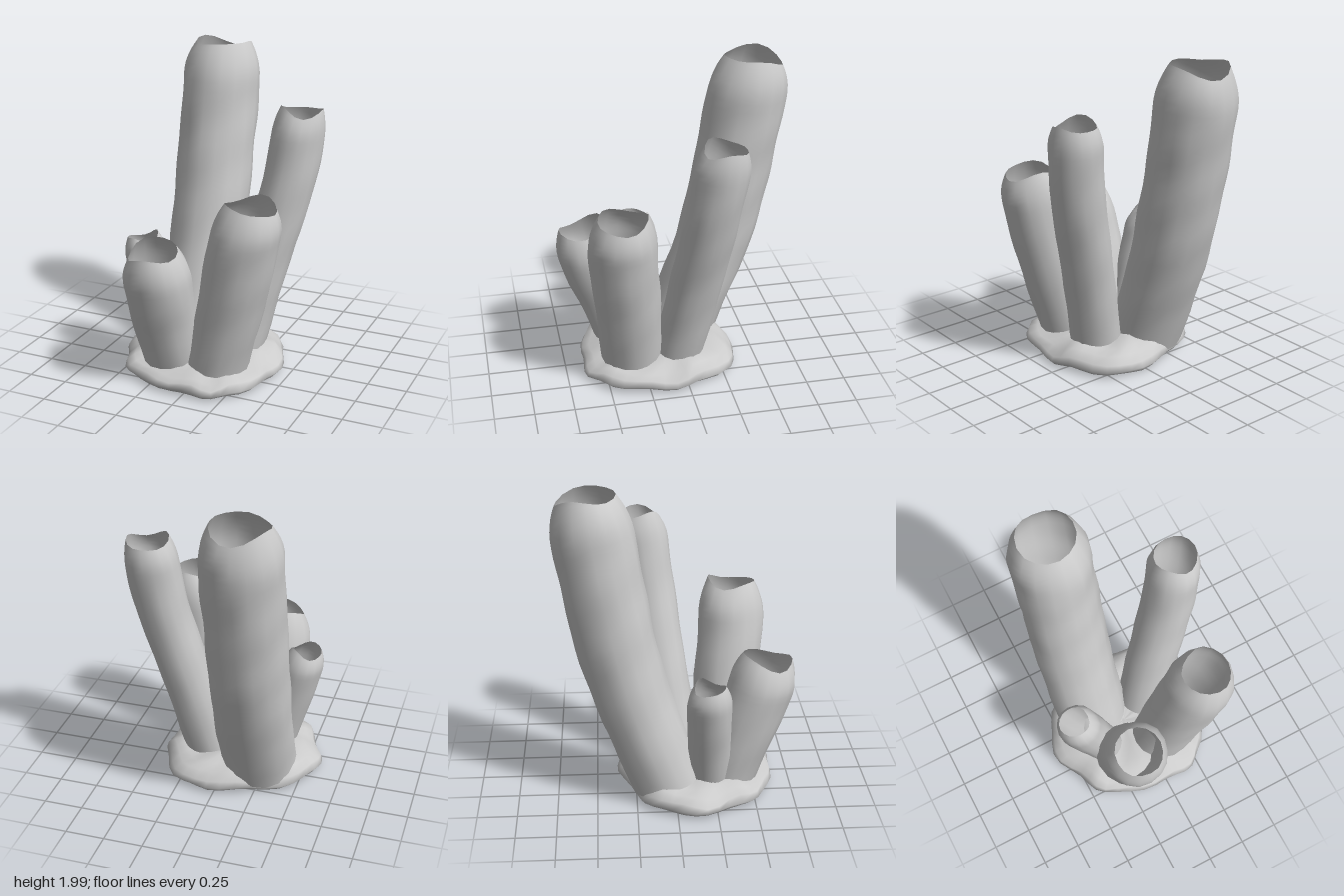
import * as THREE from 'three';

const material = new THREE.MeshStandardMaterial({ color: 0xcccccc, side: THREE.DoubleSide });

// Smooth skin over closed rings; point(row, angle) returns [x, y, z]
function skin(name, rows, sides, point) {
  const pos = [], index = [];
  for (let r = 0; r < rows; r++) {
    for (let s = 0; s < sides; s++) {
      pos.push(...point(r, (s / sides) * Math.PI * 2));
      if (r === rows - 1) continue;
      const a = r * sides + s, b = r * sides + (s + 1) % sides;
      index.push(a, a + sides, b, b, a + sides, b + sides);
    }
  }
  const geo = new THREE.BufferGeometry();
  geo.setAttribute('position', new THREE.Float32BufferAttribute(pos, 3));
  geo.setIndex(index);
  geo.computeVertexNormals();
  const mesh = new THREE.Mesh(geo, material);
  mesh.name = name;
  return mesh;
}

// Gentle irregular waves around and along a part
const ripple = (a, y, seed) =>
  0.4 * Math.sin(3 * a + 5 * y + seed) + 0.35 * Math.sin(5 * a - 11 * y + seed * 2.3)
  + 0.35 * Math.sin(2 * a + 17 * y + seed * 1.7);

// Hollow leaning tube with a narrowed, slightly wavy mouth
function tube({ name, path, r0, r1, mouth, tilt, seed, rows = 18 }) {
  const curve = new THREE.CatmullRomCurve3(path.map(p => new THREE.Vector3(...p)));
  const end = path[path.length - 1];
  const lean = new THREE.Vector2(end[0] - path[0][0], end[2] - path[0][2]).normalize();
  return skin(name, rows, 16, (row, a) => {
    const u = 1 - Math.pow(1 - row / (rows - 1), 1.4);
    const c = curve.getPoint(u);
    const shoulder = Math.max(0, 1 - (end[1] - c.y) / (r1 * 0.95));
    const body = THREE.MathUtils.lerp(r0, r1, Math.min(1, u * 2.2));
    const r = body * (1 - (1 - mouth) * shoulder ** 2) * (1 + 0.03 * ripple(a, c.y, seed));
    const dx = r * Math.cos(a), dz = r * Math.sin(a);
    const dy = -tilt * u * (dx * lean.x + dz * lean.y)
      + 0.02 * shoulder * (Math.sin(2 * a + seed) + 0.5 * Math.sin(3 * a + seed * 3));
    return [c.x + dx, c.y + dy, c.z + dz];
  });
}

export function createModel() {
  const group = new THREE.Group();
  group.name = 'tubeSponge';

  const tubes = [
    { name: 'tallBackTube', r0: 0.245, r1: 0.25, mouth: 0.72, tilt: 0.12, seed: 1, rows: 26,
      path: [[-0.23, 0.04, -0.03], [-0.23, 0.77, -0.295], [-0.23, 1.4, -0.435], [-0.225, 1.98, -0.53]] },
    { name: 'leftBackTube', r0: 0.165, r1: 0.167, mouth: 0.78, tilt: 0.06, seed: 2.4, rows: 24,
      path: [[0.11, 0.04, 0.035], [0.25, 0.65, -0.06], [0.385, 1.2, -0.14], [0.45, 1.67, -0.2]] },
    { name: 'leftFrontTube', r0: 0.195, r1: 0.213, mouth: 0.72, tilt: 0.1, seed: 4.1,
      path: [[0.095, 0.04, 0.32], [0.22, 0.55, 0.36], [0.31, 0.97, 0.395], [0.36, 1.22, 0.4]] },
    { name: 'frontTube', r0: 0.185, r1: 0.208, mouth: 0.73, tilt: 0.2, seed: 5.2,
      path: [[-0.185, 0.04, 0.32], [-0.2, 0.4, 0.43], [-0.2, 0.7, 0.53], [-0.2, 0.91, 0.58]] },
    { name: 'smallRightTube', r0: 0.125, r1: 0.138, mouth: 0.7, tilt: 0.1, seed: 3.3,
      path: [[-0.25, 0.04, 0.22], [-0.35, 0.4, 0.21], [-0.425, 0.67, 0.2], [-0.465, 0.84, 0.2]] },
  ];
  tubes.forEach(t => group.add(tube(t)));

  // Lumpy hollow base: outline in x, z and a rolled rim profile of [scale, y]
  const outline = new THREE.CatmullRomCurve3([
    [0.44, 0.08], [0.42, 0.3], [0.33, 0.52], [0.2, 0.62], [0.03, 0.64], [-0.2, 0.61], [-0.42, 0.52],
    [-0.51, 0.36], [-0.6, 0.16], [-0.56, -0.04], [-0.44, -0.2], [-0.2, -0.3], [0.05, -0.37],
    [0.26, -0.31], [0.4, -0.1],
  ].map(([x, z]) => new THREE.Vector3(x, 0, z)), true);
  const rim = [[0.66, 0.09], [0.8, 0.04], [0.94, 0.015], [1, 0.045], [0.97, 0.085],
    [0.88, 0.11], [0.76, 0.135], [0.6, 0.155], [0.35, 0.14], [0.02, 0.13]];
  const cx = -0.08, cz = 0.14;
  group.add(skin('base', rim.length, 40, (row, a) => {
    const p = outline.getPoint(a / (Math.PI * 2));
    const [k, y] = rim[row];
    const scale = k * (1 + 0.02 * Math.sin(9 * a + row * 0.7));
    // The top swells towards the back
    const swell = y > 0.1 ? 0.02 * k * (0.5 - Math.sin(a)) : 0;
    const lump = (y > 0.08 ? 0.026 : 0.01) * k * ripple(a * 2, k * 0.5, 1.5);
    return [cx + (p.x - cx) * scale, Math.max(0, y + swell + lump), cz + (p.z - cz) * scale];
  }));

  return group;
}
